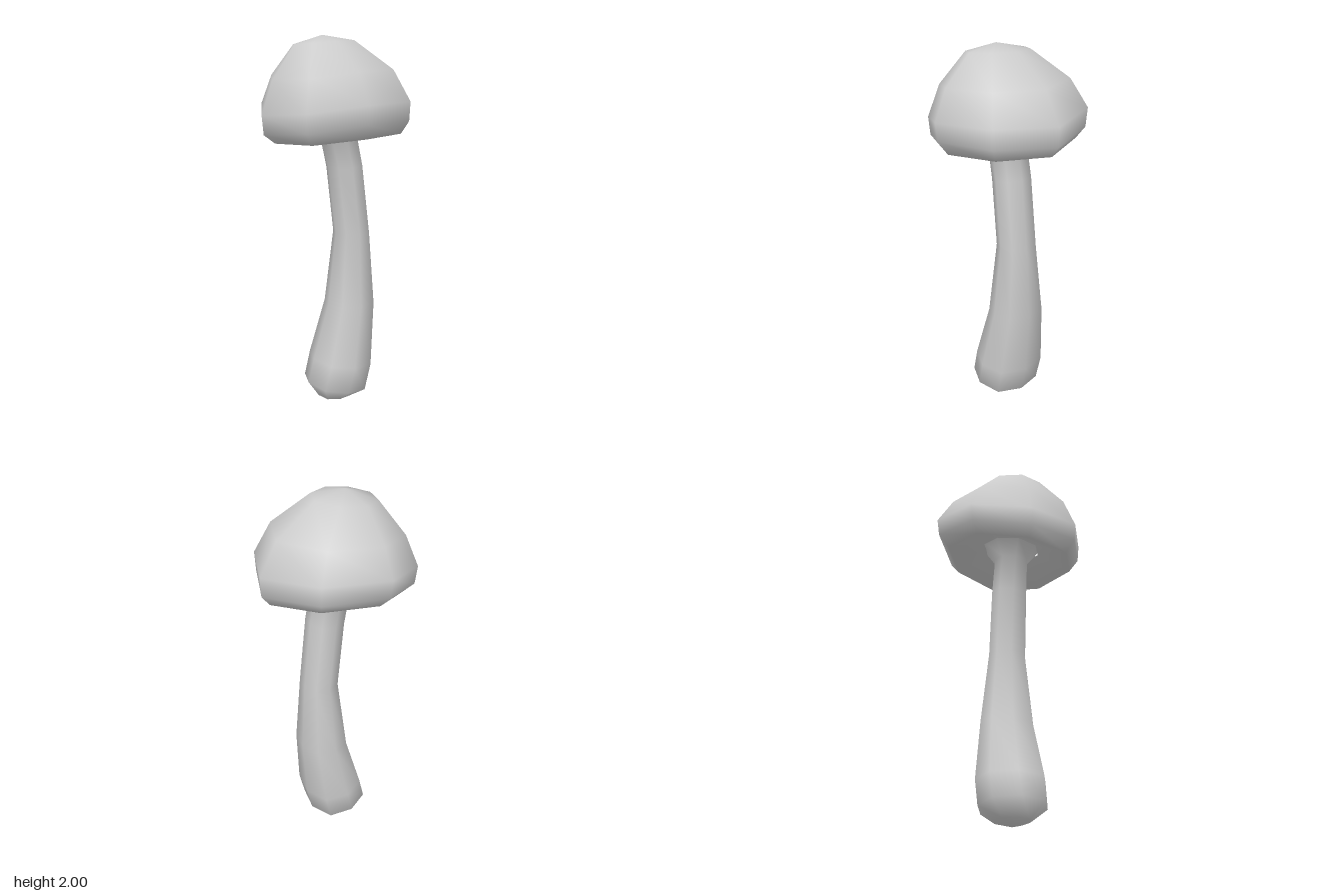
import * as THREE from 'three';

const SIDES = 8;

// Skin a stack of eight-sided rings, listed from top to bottom.
// Ring: x, y, z centre; rx, rz radii; tiltX, tiltZ rise at +x and +z; sag lowers the x ends.
// A ring with rx = 0 is a single closing point.
// corner scales the diagonal corners; bowX and bowZ bend the outline off its axes.
function loft(rings, { corner = 1, bowX = 0, bowZ = 0 }) {
  const positions = [], index = [], starts = [];
  for (const { x, y, z = 0.015, rx, rz = rx, tiltX = 0, tiltZ = 0, sag = 0 } of rings) {
    starts.push(positions.length / 3);
    for (let j = 0; j < (rx === 0 ? 1 : SIDES); j++) {
      const a = (j / SIDES) * Math.PI * 2, c = Math.cos(a), s = Math.sin(a);
      const k = j % 2 ? corner : 1;
      positions.push(
        x + rx * (k * c - bowX * s * s),
        y + tiltX * c + tiltZ * s - sag * Math.cos(2 * a),
        z + rz * (k * s + bowZ * c * c),
      );
    }
  }
  const at = (i, j) => starts[i] + (rings[i].rx === 0 ? 0 : j % SIDES);
  for (let i = 0; i < rings.length - 1; i++) {
    for (let j = 0; j < SIDES; j++) {
      const a = at(i, j), b = at(i, j + 1), c = at(i + 1, j), d = at(i + 1, j + 1);
      if (a !== b) index.push(a, b, c);
      if (c !== d) index.push(b, d, c);
    }
  }
  const geometry = new THREE.BufferGeometry();
  geometry.setAttribute('position', new THREE.Float32BufferAttribute(positions, 3));
  geometry.setIndex(index);
  geometry.computeVertexNormals();
  return geometry;
}

export function createModel() {
  const group = new THREE.Group();
  group.name = 'mushroom';
  const material = new THREE.MeshStandardMaterial({ color: 0xcccccc });
  const add = (name, rings, outline) => {
    const mesh = new THREE.Mesh(loft(rings, outline), material);
    mesh.name = name;
    group.add(mesh);
  };

  // Domed cap with a rounded lip and a hollow underside
  add('cap', [
    { x: -0.085, y: 2.0, z: 0.02, rx: 0 },
    { x: -0.07, y: 1.963, z: 0.012, rx: 0.168, rz: 0.173, tiltX: 0.012 },
    { x: -0.02, y: 1.813, z: 0.005, rx: 0.34, rz: 0.345, tiltX: 0.027, tiltZ: -0.008, sag: 0.01 },
    { x: 0, y: 1.657, z: 0, rx: 0.42, rz: 0.424, tiltX: 0.035, tiltZ: -0.02, sag: 0.022 },
    { x: 0.002, y: 1.56, z: 0.002, rx: 0.413, tiltX: 0.033, tiltZ: -0.02, sag: 0.025 },
    { x: 0.01, y: 1.502, z: 0.005, rx: 0.36, tiltX: 0.028, tiltZ: -0.026, sag: 0.017 },
    { x: 0, y: 1.585, rx: 0.16, tiltX: 0.014, tiltZ: -0.01 },
  ], { corner: 0.98, bowX: 0.065, bowZ: 0.035 });

  // Curved stem, flared into the cap above and swollen into a rounded foot below
  add('stem', [
    { x: -0.005, y: 1.6, rx: 0.16, tiltX: 0.014, tiltZ: -0.01 },
    { x: 0.004, y: 1.51, z: 0.018, rx: 0.095, tiltX: 0.012 },
    { x: 0.045, y: 1.32, z: 0.018, rx: 0.092, rz: 0.1, tiltX: 0.01 },
    { x: 0.088, y: 0.955, z: 0.018, rx: 0.093, rz: 0.103 },
    { x: 0.078, y: 0.56, rx: 0.128, rz: 0.145, tiltX: 0.01 },
    { x: 0.02, y: 0.235, z: 0.018, rx: 0.16, rz: 0.185, tiltX: -0.017 },
    { x: -0.015, y: 0.097, z: 0.02, rx: 0.16, rz: 0.18, tiltX: -0.025 },
    { x: -0.018, y: 0.027, rx: 0.093, tiltX: -0.003 },
    { x: -0.015, y: 0, rx: 0 },
  ], { corner: 1.07 });

  return group;
}
